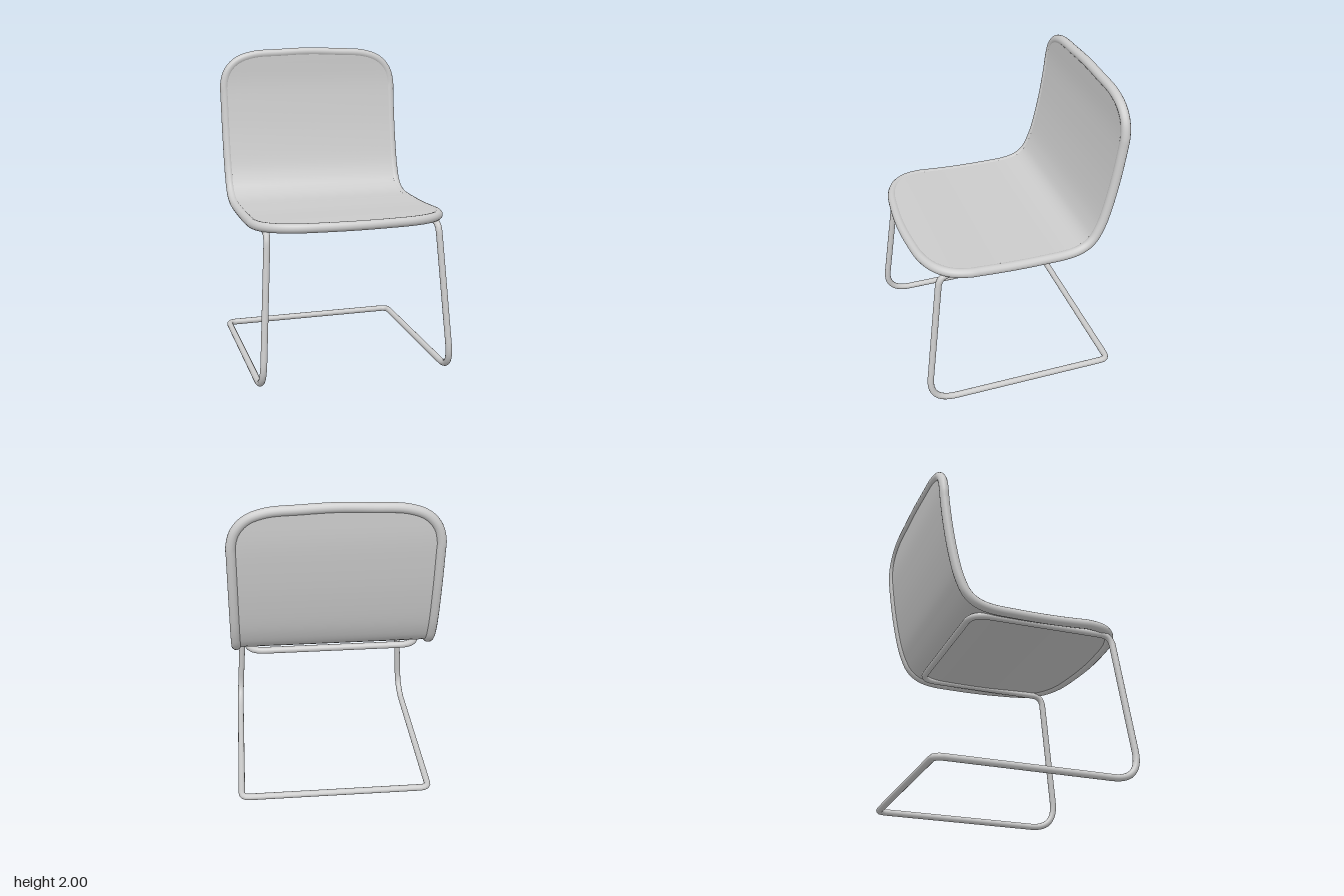
import * as THREE from 'three';

const material = new THREE.MeshStandardMaterial({ color: 0xcccccc, side: THREE.DoubleSide });
const V = (x, y, z) => new THREE.Vector3(x, y, z);

// Side profile of the shell, from the front of the seat to the top of the back
const profile = new THREE.CatmullRomCurve3([
  [0.62, 1.01], [0.4, 0.998], [0.1, 0.98], [-0.15, 0.977], [-0.3, 0.982], [-0.39, 1.005],
  [-0.45, 1.05], [-0.49, 1.12], [-0.52, 1.2], [-0.567, 1.4], [-0.6, 1.6], [-0.619, 1.77], [-0.623, 1.97],
].map(([z, y]) => V(0, y, z)));
const length = profile.getLength();

// Rounded ends of the shell: [x, distance in from the end of the profile]
const frontEdge = [[0, 0], [0.2, 0.01], [0.38, 0.035], [0.5, 0.09], [0.57, 0.17], [0.6, 0.28]];
const backEdge = [[0, 0], [0.2, 0.007], [0.4, 0.02], [0.51, 0.06], [0.575, 0.13], [0.6, 0.22]];

function edgeInset(edge, x) {
  const a = Math.min(Math.abs(x), 0.6);
  let i = 1;
  while (i < edge.length - 1 && edge[i][0] < a) i++;
  const [[x0, d0], [x1, d1]] = [edge[i - 1], edge[i]];
  return d0 + (d1 - d0) * (a - x0) / (x1 - x0);
}

// Point on the shell at width x and distance s along the profile, lifted off its middle
function shellPoint(x, s, lift = 0) {
  const u = THREE.MathUtils.clamp(s / length, 0, 1);
  const p = profile.getPointAt(u);
  const t = profile.getTangentAt(u);
  return V(x, p.y - t.z * lift, p.z + t.y * lift);
}

// Sheet filling the rim
function panel(name, lift, flip) {
  const cols = 28, rows = 60, positions = [], index = [];
  for (let r = 0; r <= rows; r++) {
    for (let c = 0; c <= cols; c++) {
      const x = 0.6 * Math.sin((c / cols - 0.5) * Math.PI);
      const s0 = edgeInset(frontEdge, x), s1 = length - edgeInset(backEdge, x);
      positions.push(...shellPoint(x, s0 + (s1 - s0) * r / rows, lift).toArray());
      if (r < rows && c < cols) {
        const a = r * (cols + 1) + c, b = a + 1, d = a + cols + 1, e = d + 1;
        index.push(...(flip ? [a, d, b, b, d, e] : [a, b, d, b, e, d]));
      }
    }
  }
  const geometry = new THREE.BufferGeometry();
  geometry.setAttribute('position', new THREE.Float32BufferAttribute(positions, 3));
  geometry.setIndex(index);
  geometry.computeVertexNormals();
  return named(name, geometry);
}

function named(name, geometry) {
  const mesh = new THREE.Mesh(geometry, material);
  mesh.name = name;
  return mesh;
}

// Rounded rim running all the way round the shell
function rim() {
  const half = frontEdge.map(([x, d]) => [x, d]);
  const sides = 24, s0 = 0.28, s1 = length - 0.22;
  for (let i = 1; i < sides; i++) half.push([0.6, s0 + (s1 - s0) * i / sides]);
  for (const [x, d] of [...backEdge].reverse()) half.push([x, length - d]);
  const mirrored = half.slice(1, -1).reverse().map(([x, s]) => [-x, s]);
  const points = [...half, ...mirrored].map(([x, s]) => shellPoint(x, s));
  const path = new THREE.CatmullRomCurve3(points, true);
  return named('shellRim', new THREE.TubeGeometry(path, 260, 0.03, 14, true));
}

// Closed path of straight runs with a bend at each corner: [x, y, z, bend size]
function bentPath(corners) {
  const path = new THREE.CurvePath();
  const n = corners.length;
  const bends = corners.map(([x, y, z, size], i) => {
    const p = V(x, y, z);
    const toward = (c) => V(c[0], c[1], c[2]).sub(p).setLength(size).add(p);
    return { p, start: toward(corners[(i + n - 1) % n]), end: toward(corners[(i + 1) % n]) };
  });
  bends.forEach((b, i) => {
    path.add(new THREE.QuadraticBezierCurve3(b.start, b.p, b.end));
    path.add(new THREE.LineCurve3(b.end, bends[(i + 1) % n].start));
  });
  return path;
}

// One continuous tube: floor loop, front legs and support loop under the seat
function frame() {
  const side = [
    [0.608, 0.021, -0.628, 0.05],  // rear floor corner
    [0.608, 0.021, 0.64, 0.19],    // foot bend
    [0.545, 0.972, 0.522, 0.07],   // top of the leg
    [0.53, 0.963, -0.395, 0.11],   // rear corner under the seat
  ];
  const mirrored = [...side].reverse().map(([x, ...rest]) => [-x, ...rest]);
  const path = bentPath([...side, ...mirrored]);
  return named('cantileverFrame', new THREE.TubeGeometry(path, 420, 0.021, 12, true));
}

export function createModel() {
  const model = new THREE.Group();
  model.name = 'cantileverChair';
  const shell = new THREE.Group();
  shell.name = 'seatShell';
  shell.add(panel('shellFront', 0.024, false), panel('shellBack', -0.012, true), rim());
  model.add(shell, frame());
  return model;
}
